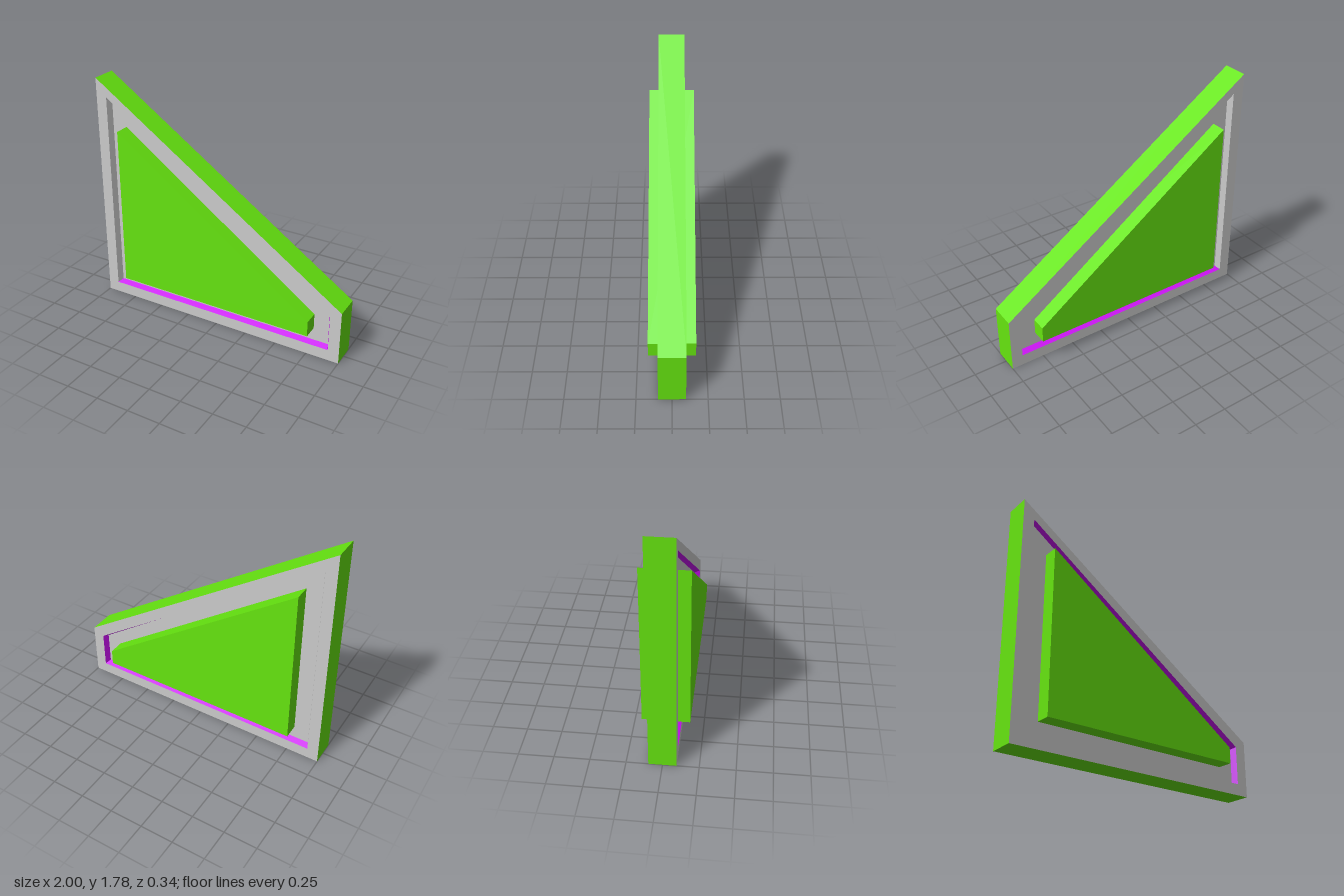
import * as THREE from 'three';

const grey = new THREE.MeshStandardMaterial({ color: 0xcccccc });
const green = new THREE.MeshStandardMaterial({ color: 0x66e510 });
const purple = new THREE.MeshStandardMaterial({ color: 0xcc10f5 });

// Four-sided wedge outline, counter-clockwise: bottom, right, sloped top, left edges
const wedge = (x, y0, yRight, yLeft) => [[-x, y0], [x, y0], [x, yRight], [-x, yLeft]];

const OUTER = wedge(1, 0, 0.42, 1.78);
const OPENING = wedge(0.915, 0.085, 0.37, 1.647);
const FLOOR = wedge(0.896, 0.102, 0.358, 1.63);
const PANEL = wedge(0.78, 0.2, 0.32, 1.43);

const RIM_Z = 0.097, FLOOR_Z = 0.053, PANEL_Z = 0.168;
const ALL = [0, 1, 2, 3];

// Faces joining chosen edges of outline a (at za) to outline b (at zb)
function band(name, a, za, b, zb, material, edges = ALL, flip = false) {
  const pos = [];
  for (const i of edges) {
    const j = (i + 1) % 4;
    const quad = [[...a[i], za], [...a[j], za], [...b[j], zb], [...b[i], zb]];
    const order = flip ? [0, 2, 1, 0, 3, 2] : [0, 1, 2, 0, 2, 3];
    for (const k of order) pos.push(...quad[k]);
  }
  const geo = new THREE.BufferGeometry();
  geo.setAttribute('position', new THREE.Float32BufferAttribute(pos, 3));
  geo.computeVertexNormals();
  const mesh = new THREE.Mesh(geo, material);
  mesh.name = name;
  return mesh;
}

export function createModel() {
  const model = new THREE.Group();
  model.name = 'wedgePanel';

  // Outer edge of the frame
  model.add(band('frameEdge', OUTER, -RIM_Z, OUTER, RIM_Z, green, ALL, true));
  model.children[0].material = green.clone();
  model.children[0].material.side = THREE.DoubleSide;

  // Rim, sloping groove walls and groove floor on both faces
  for (const [side, s] of [['front', 1], ['back', -1]]) {
    const flip = s < 0;
    model.add(
      band(side + 'Rim', OUTER, s * RIM_Z, OPENING, s * RIM_Z, grey, ALL, flip),
      band(side + 'GrooveWalls', OPENING, s * RIM_Z, FLOOR, s * FLOOR_Z, purple, [0, 1, 2], flip),
      band(side + 'GrooveLeftWall', OPENING, s * RIM_Z, FLOOR, s * FLOOR_Z, grey, [3], flip),
      band(side + 'GrooveFloor', FLOOR, s * FLOOR_Z, PANEL, s * FLOOR_Z, grey, ALL, flip),
    );
  }

  // Raised centre panel, standing proud of both faces
  const shape = new THREE.Shape(PANEL.map(([x, y]) => new THREE.Vector2(x, y)));
  const geo = new THREE.ExtrudeGeometry(shape, { depth: 2 * PANEL_Z, bevelEnabled: false });
  geo.translate(0, 0, -PANEL_Z);
  const panel = new THREE.Mesh(geo, green);
  panel.name = 'raisedPanel';
  model.add(panel);

  return model;
}
